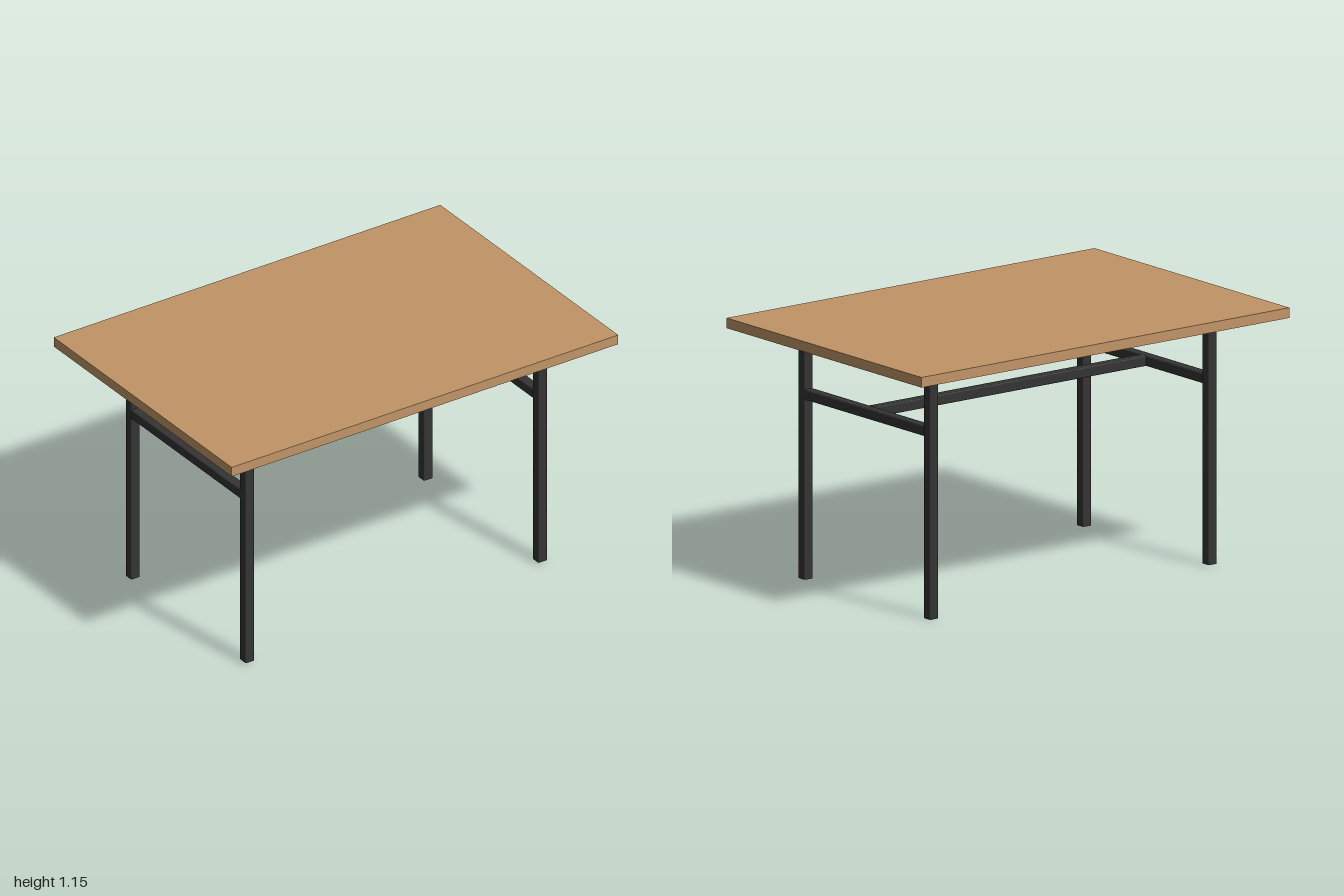
import * as THREE from 'three';

const BAR = 0.045;

// Square steel tube with slightly eased long edges, running along +z from 0 to length
function tubeGeometry(length) {
  const h = BAR / 2, c = 0.005, s = new THREE.Shape();
  s.moveTo(-h + c, -h);
  s.lineTo(h - c, -h);
  s.quadraticCurveTo(h, -h, h, -h + c);
  s.lineTo(h, h - c);
  s.quadraticCurveTo(h, h, h - c, h);
  s.lineTo(-h + c, h);
  s.quadraticCurveTo(-h, h, -h, h - c);
  s.lineTo(-h, -h + c);
  s.quadraticCurveTo(-h, -h, -h + c, -h);
  return new THREE.ExtrudeGeometry(s, { depth: length, bevelEnabled: false, curveSegments: 3 });
}

export function createModel() {
  const table = new THREE.Group();
  table.name = 'table';

  const wood = new THREE.MeshStandardMaterial({ color: 0xc19467 });
  wood.name = 'wood';
  const steel = new THREE.MeshStandardMaterial({ color: 0x343434 });
  steel.name = 'darkSteel';

  // Table top
  const top = new THREE.Mesh(new THREE.BoxGeometry(2, 0.045, 1.345), wood);
  top.name = 'tableTop';
  top.position.y = 1.1225;
  table.add(top);

  // A bar from one point to another, along any axis
  function bar(name, from, to) {
    const a = new THREE.Vector3(...from), b = new THREE.Vector3(...to);
    const mesh = new THREE.Mesh(tubeGeometry(a.distanceTo(b)), steel);
    mesh.name = name;
    mesh.position.copy(a);
    mesh.lookAt(b);
    table.add(mesh);
  }

  const leftX = 0.754, rightX = -0.761, frontZ = 0.44, backZ = -0.425;
  const railY = 0.8225, legTop = 1.1, h = BAR / 2;

  // Legs, three of them a hair shorter than the back left one
  for (const [side, x] of [['Left', leftX], ['Right', rightX]]) {
    for (const [end, z] of [['front', frontZ], ['back', backZ]]) {
      const foot = side === 'Left' && end === 'back' ? 0 : 0.008;
      bar(`${end}${side}Leg`, [x, foot, z], [x, legTop, z]);
    }
    // Side rail between the two legs
    bar(`side${side}Rail`, [x, railY, backZ + h], [x, railY, frontZ - h]);
  }

  // Long stretcher joining the side rails
  const midZ = (frontZ + backZ) / 2;
  bar('centreStretcher', [rightX + h, railY, midZ], [leftX - h, railY, midZ]);

  return table;
}
